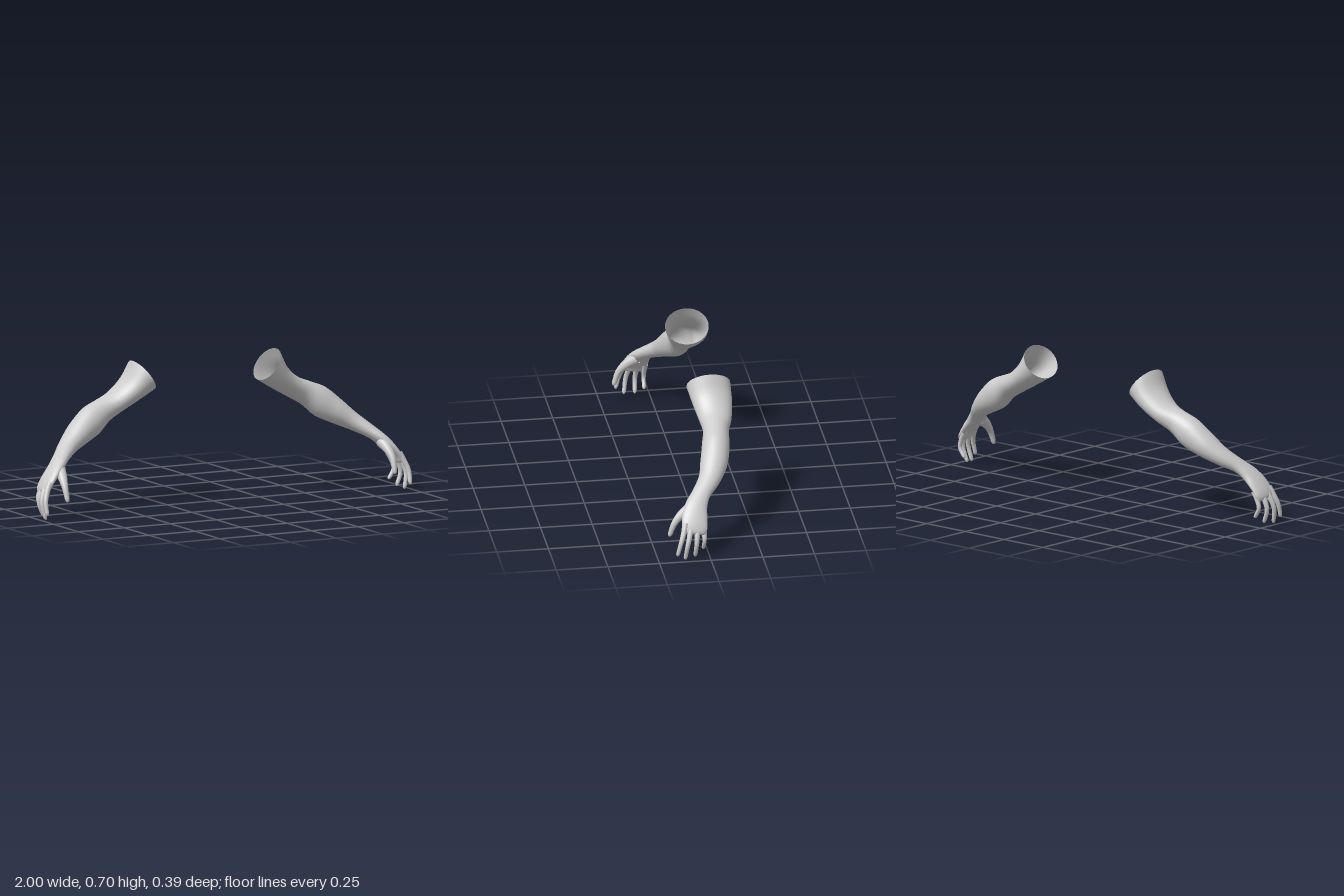
import * as THREE from 'three';

const V = (x, y, z) => new THREE.Vector3(x, y, z);
const SEG = 28;

// Arm sections: top x, top y, underside x, underside y, centre z, half width
const ARM = [
  [0.39, 0.70, 0.29, 0.555, -0.087, 0.106],
  [0.432, 0.62, 0.375, 0.505, -0.097, 0.096],
  [0.505, 0.555, 0.455, 0.46, -0.099, 0.079],
  [0.578, 0.525, 0.53, 0.415, -0.091, 0.062],
  [0.65, 0.495, 0.592, 0.36, -0.08, 0.067],
  [0.722, 0.435, 0.672, 0.322, -0.06, 0.066],
  [0.79, 0.368, 0.752, 0.288, -0.027, 0.053],
  [0.85, 0.312, 0.822, 0.253, 0.022, 0.045],
  [0.903, 0.262, 0.862, 0.222, 0.053, 0.053],
  [0.943, 0.213, 0.903, 0.188, 0.067, 0.061],
  [0.971, 0.165, 0.937, 0.152, 0.073, 0.062],
  [0.977, 0.141, 0.948, 0.131, 0.075, 0.056],
  [0.972, 0.131, 0.956, 0.126, 0.076, 0.046],
];

// Digits: centre points from root to tip, with root and tip radius
const DIGITS = {
  thumb: { path: [[0.875, 0.235, 0.075], [0.884, 0.2, 0.125], [0.89, 0.16, 0.16], [0.888, 0.09, 0.186]], r: [0.03, 0.011] },
  indexFinger: { path: [[0.947, 0.18, 0.116], [0.968, 0.142, 0.127], [0.985, 0.095, 0.143], [0.985, 0.028, 0.161]], r: [0.016, 0.0095] },
  middleFinger: { path: [[0.947, 0.17, 0.09], [0.972, 0.132, 0.098], [0.987, 0.08, 0.111], [0.973, 0.003, 0.122]], r: [0.016, 0.0095] },
  ringFinger: { path: [[0.945, 0.165, 0.058], [0.968, 0.13, 0.062], [0.981, 0.08, 0.067], [0.957, 0.01, 0.071]], r: [0.016, 0.0095] },
  littleFinger: { path: [[0.935, 0.17, 0.024], [0.955, 0.13, 0.026], [0.965, 0.09, 0.027], [0.936, 0.039, 0.029]], r: [0.014, 0.009] },
};

// Skin equal rings of points into a smooth surface, closing the far end
function loft(rings, mirrored) {
  const pos = [], idx = [], n = rings[0].length;
  for (const ring of rings) for (const p of ring) pos.push(mirrored ? -p.x : p.x, p.y, p.z);
  const tri = (a, b, c) => (mirrored ? idx.push(a, c, b) : idx.push(a, b, c));
  for (let i = 0; i < rings.length - 1; i++) {
    for (let j = 0; j < n; j++) {
      const k = (j + 1) % n, a = i * n, b = a + n;
      tri(a + j, a + k, b + j);
      tri(a + k, b + k, b + j);
    }
  }
  const last = (rings.length - 1) * n;
  const tip = new THREE.Vector3();
  rings.at(-1).forEach((p) => tip.addScaledVector(p, 1 / n));
  pos.push(mirrored ? -tip.x : tip.x, tip.y, tip.z);
  for (let j = 0; j < n; j++) tri(last + j, last + ((j + 1) % n), rings.length * n);
  const g = new THREE.BufferGeometry();
  g.setAttribute('position', new THREE.Float32BufferAttribute(pos, 3));
  g.setIndex(idx);
  g.computeVertexNormals();
  return g;
}

// One elliptical ring spanned by two half axes
function ellipse(c, a, b, n) {
  return Array.from({ length: n }, (_, j) => {
    const t = (j / n) * Math.PI * 2;
    return c.clone().addScaledVector(a, Math.cos(t)).addScaledVector(b, Math.sin(t));
  });
}

// Upper arm, elbow, forearm, wrist and palm as one skin
function armRings() {
  const spline = (f) => new THREE.CatmullRomCurve3(ARM.map(f));
  const top = spline((s) => V(s[0], s[1], s[4]));
  const under = spline((s) => V(s[2], s[3], s[4]));
  const width = spline((s) => V(s[5], 0, 0));
  const steps = (ARM.length - 1) * 5;
  const mid = (t) => top.getPoint(t).add(under.getPoint(t)).multiplyScalar(0.5);
  return Array.from({ length: steps + 1 }, (_, i) => {
    const t = i / steps;
    const half = top.getPoint(t).sub(under.getPoint(t)).multiplyScalar(0.5);
    const along = mid(Math.min(1, t + 0.02)).sub(mid(Math.max(0, t - 0.02)));
    const side = along.cross(half).normalize();
    // the open end is cut straight across
    side.lerp(V(0, 0, Math.sign(side.z)), Math.max(0, 1 - t * 8)).normalize();
    return ellipse(mid(t), half, side.multiplyScalar(width.getPoint(t).x), SEG);
  });
}

// Tapered digit with a rounded tip
function digitRings({ path, r }) {
  const curve = new THREE.CatmullRomCurve3(path.map((p) => V(...p)));
  const steps = 24;
  return Array.from({ length: steps + 1 }, (_, i) => {
    const t = Math.sin((i / steps) * Math.PI / 2);
    const dir = curve.getTangent(t);
    const a = V(1, 0, 0).addScaledVector(dir, -dir.x).normalize();
    const b = dir.clone().cross(a);
    const round = Math.sqrt(Math.max(0.002, 1 - Math.max(0, (t - 0.92) / 0.08) ** 2));
    const rad = (r[1] + (r[0] - r[1]) * (1 - t) ** 1.3) * round;
    return ellipse(curve.getPoint(t), a.multiplyScalar(rad), b.multiplyScalar(rad), 14);
  });
}

export function createModel() {
  const model = new THREE.Group();
  model.name = 'arms';
  const skin = new THREE.MeshStandardMaterial({ color: 0xcccccc, side: THREE.DoubleSide });
  for (const side of ['left', 'right']) {
    const arm = new THREE.Group();
    arm.name = side + 'Arm';
    const add = (name, rings) => {
      const mesh = new THREE.Mesh(loft(rings, side === 'right'), skin);
      mesh.name = name;
      arm.add(mesh);
    };
    add('armAndPalm', armRings());
    for (const [name, digit] of Object.entries(DIGITS)) add(name, digitRings(digit));
    model.add(arm);
  }
  return model;
}
